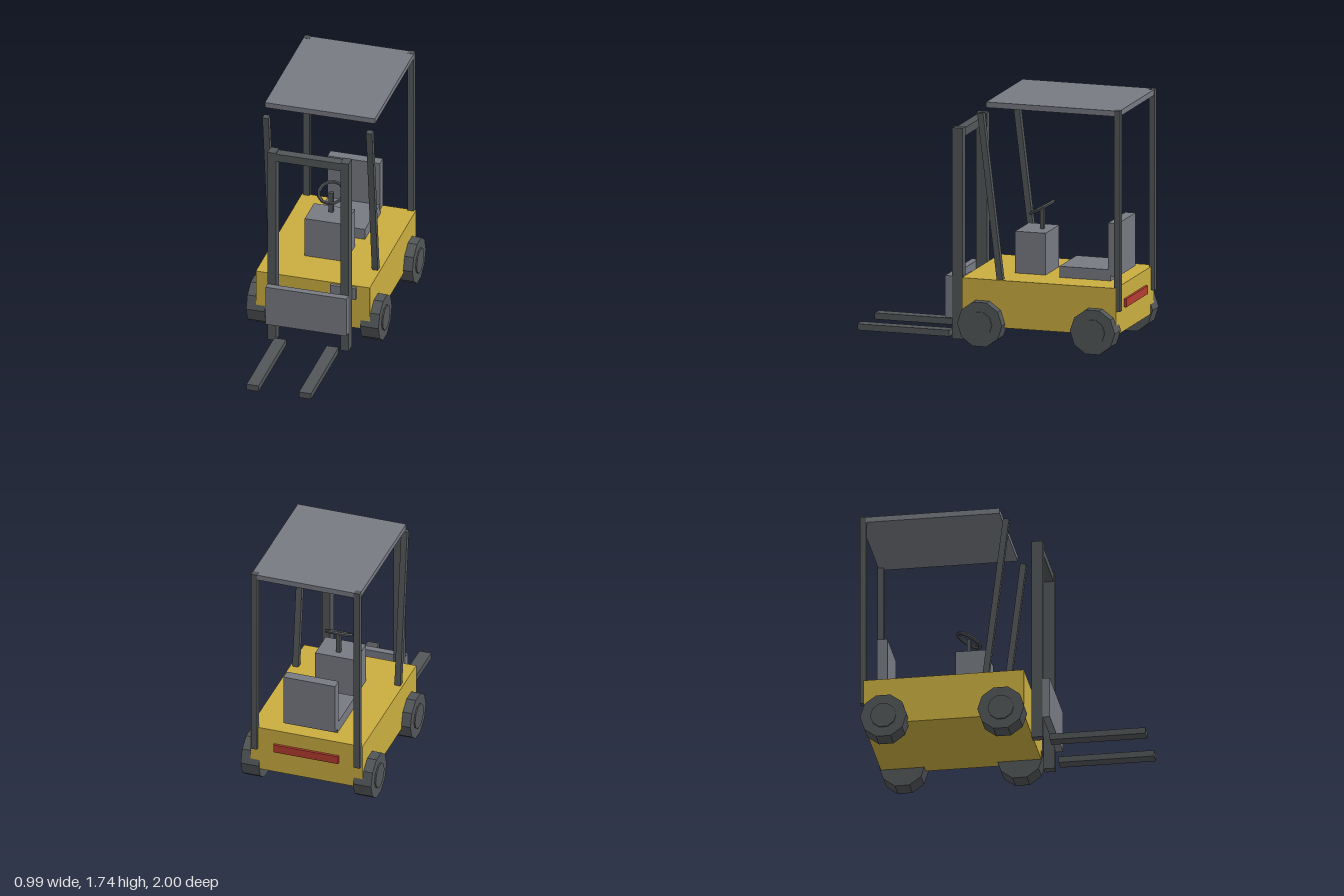
import * as THREE from 'three';

const paint = (name, color) => {
  const m = new THREE.MeshStandardMaterial({ color });
  m.name = name;
  return m;
};

// faceted normals for low-poly round parts
const faceted = (geometry) => {
  const g = geometry.toNonIndexed();
  g.computeVertexNormals();
  return g;
};

export function createModel() {
  const yellow = paint('yellow paint', 0xcaae40);
  const grey = paint('mid grey', 0x777a82);
  const dark = paint('dark grey', 0x525658);
  const red = paint('red lamp', 0xb43c30);

  const model = new THREE.Group();
  model.name = 'forklift';

  const add = (name, geometry, material, parent = model) => {
    const mesh = new THREE.Mesh(geometry, material);
    mesh.name = name;
    parent.add(mesh);
    return mesh;
  };

  // box given by its limits on each axis
  const box = (name, material, [x0, x1], [y0, y1], [z0, z1]) => {
    const mesh = add(name, new THREE.BoxGeometry(x1 - x0, y1 - y0, z1 - z0), material);
    mesh.position.set((x0 + x1) / 2, (y0 + y1) / 2, (z0 + z1) / 2);
    return mesh;
  };

  // chassis with front plate and rear lamp
  box('body', yellow, [-0.417, 0.417], [0.13, 0.47], [-0.975, 0.165]);
  box('frontPlate', grey, [0.134, 0.32], [0.37, 0.46], [0.16, 0.19]);
  box('rearLamp', red, [-0.24, 0.24], [0.3, 0.36], [-0.993, -0.97]);

  // seat
  box('seatCushion', grey, [-0.19, 0.19], [0.465, 0.55], [-0.86, -0.48]);
  box('seatBack', grey, [-0.192, 0.192], [0.505, 0.885], [-0.915, -0.84]);

  // console and steering
  box('console', grey, [-0.15, 0.15], [0.465, 0.77], [-0.365, -0.14]);
  box('steeringColumn', dark, [-0.016, 0.016], [0.765, 0.925], [-0.305, -0.277]);
  const steeringWheel = add('steeringWheel',
    faceted(new THREE.TorusGeometry(0.091, 0.013, 6, 12)), dark);
  steeringWheel.position.set(0, 0.922, -0.29);
  steeringWheel.rotation.x = -Math.PI / 3;

  // overhead guard
  box('roof', grey, [-0.403, 0.403], [1.7, 1.74], [-0.995, -0.01]);

  // mast crossbar and fork carriage
  box('mastCrossbar', dark, [-0.24, 0.24], [1.445, 1.505], [0.205, 0.272]);
  box('carriage', grey, [-0.297, 0.297], [0.15, 0.45], [0.28, 0.33]);

  const tyreGeometry = faceted(
    new THREE.CylinderGeometry(0.166, 0.166, 0.135, 10).rotateZ(Math.PI / 2));
  const hubGeometry = faceted(
    new THREE.CylinderGeometry(0.093, 0.093, 0.14, 10).rotateZ(Math.PI / 2));

  for (const s of [1, -1]) {
    const side = s > 0 ? 'left' : 'right';
    const span = (a, b) => (s > 0 ? [a, b] : [-b, -a]);

    box(side + 'MastUpright', dark, span(0.236, 0.297), [0, 1.515], [0.2, 0.28]);
    box(side + 'Fork', dark, span(0.148, 0.236), [0, 0.045], [0.32, 1]);
    box(side + 'RearPillar', dark, span(0.36, 0.404), [0.3, 1.742], [-1, -0.957]);

    // front pillar leans forward towards the top
    const pillar = box(side + 'FrontPillar', dark, span(0.357, 0.401), [0.45, 1.66], [-0.059, -0.016]);
    pillar.rotation.x = 0.121;

    for (const [end, z] of [['Front', 0.012], ['Rear', -0.823]]) {
      const wheel = new THREE.Group();
      wheel.name = side + end + 'Wheel';
      add('tyre', tyreGeometry, dark, wheel);
      add('hub', hubGeometry, dark, wheel).position.x = s * 0.007;
      wheel.position.set(s * 0.417, 0.158, z);
      model.add(wheel);
    }
  }

  return model;
}
